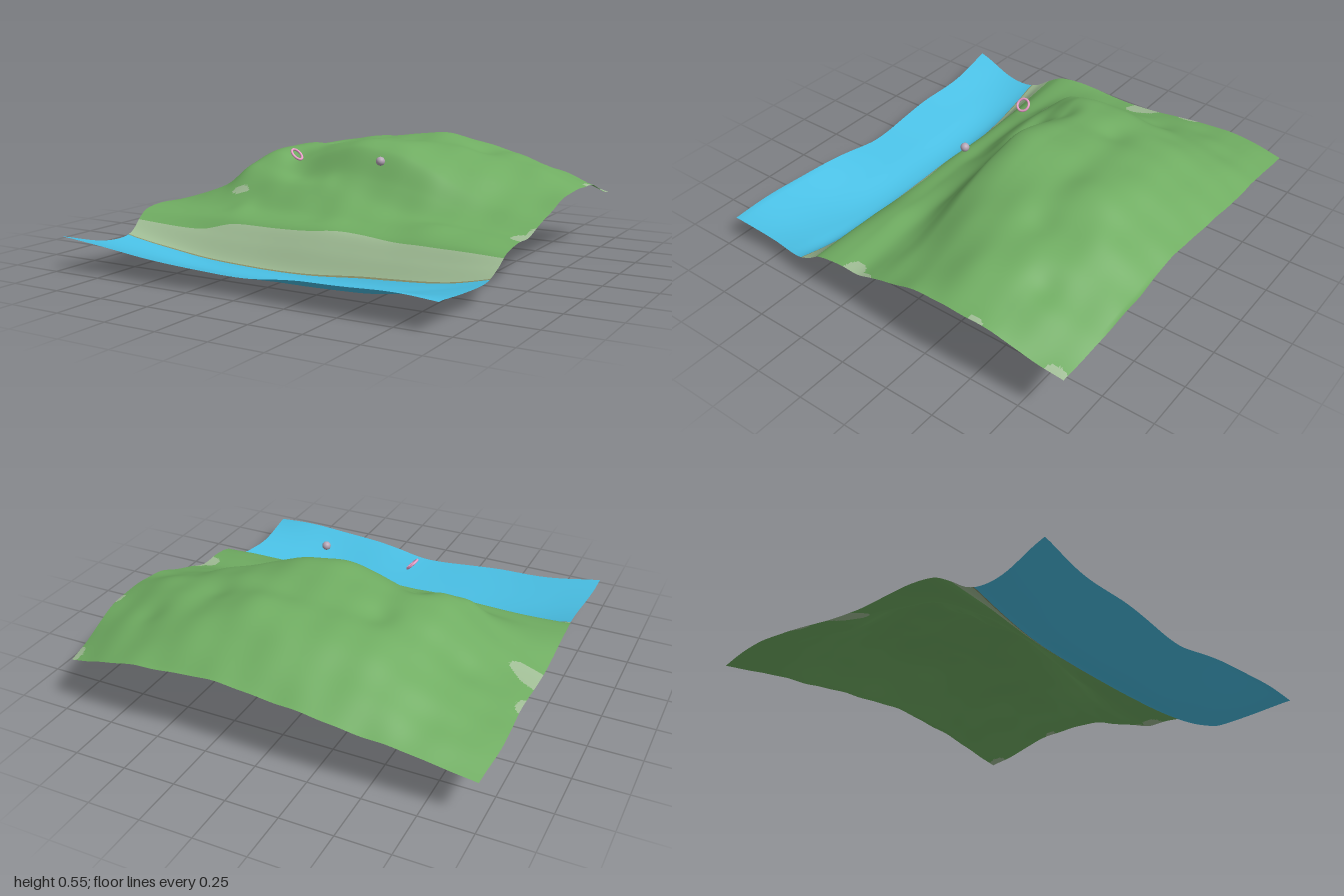
import * as THREE from 'three';

const material = (name, color) => {
  const m = new THREE.MeshStandardMaterial({ color, side: THREE.DoubleSide });
  m.name = name;
  return m;
};

// Smooth curve through points (ts, vs) with uneven spacing
function spline(ts, vs, t) {
  const n = ts.length;
  let k = 0;
  while (k < n - 2 && t > ts[k + 1]) k++;
  const slope = (i) => {
    const a = Math.max(i - 1, 0), b = Math.min(i + 1, n - 1);
    return (vs[b] - vs[a]) / (ts[b] - ts[a]);
  };
  const h = ts[k + 1] - ts[k];
  const s = Math.min(1, Math.max(0, (t - ts[k]) / h));
  const s2 = s * s, s3 = s2 * s;
  return (2 * s3 - 3 * s2 + 1) * vs[k] + (s3 - 2 * s2 + s) * h * slope(k)
    + (3 * s2 - 2 * s3) * vs[k + 1] + (s3 - s2) * h * slope(k + 1);
}
const curve = (points) => {
  const ts = points.map((p) => p[0]), vs = points.map((p) => p[1]);
  return (t) => spline(ts, vs, t);
};

// Outline of the sheet, and the shorelines running across it
const leftEdge = curve([[-0.94, -0.98], [-0.7, -1], [-0.4, -0.985], [0, -0.98], [0.4, -0.967], [0.57, -0.932], [0.7, -0.932], [0.9, -0.965], [0.98, -0.973]]);
const rightEdge = curve([[-0.95, 0.97], [-0.5, 1], [-0.2, 0.99], [0, 0.972], [0.2, 0.963], [0.4, 0.962], [0.6, 0.942], [0.75, 0.926], [0.99, 0.938]]);
const backEdge = curve([[-0.98, -0.935], [-0.6, -0.96], [-0.3, -0.98], [0, -0.98], [0.3, -0.982], [0.5, -0.993], [0.7, -0.985], [0.97, -0.95]]);
const grassLine = curve([[-0.96, 0.48], [-0.6, 0.46], [-0.4, 0.42], [0, 0.415], [0.2, 0.395], [0.5, 0.415], [0.95, 0.425]]);
const waterLine = curve([[-0.94, 0.585], [-0.6, 0.56], [0, 0.552], [0.4, 0.532], [0.95, 0.54]]);
const sandLine = (x) => waterLine(x) - 0.006;
const frontEdge = curve([[-0.975, 0.975], [-0.7, 0.95], [-0.4, 0.965], [0, 0.945], [0.2, 0.96], [0.5, 0.98], [0.94, 0.99]]);

// Height cross-sections from back to front
const sectionX = [-1, -0.75, -0.5, -0.25, 0, 0.25, 0.5, 0.75, 1];
const sections = [
  [-0.98, [0.19, 0.24, 0.29, 0.33, 0.36, 0.37, 0.36, 0.31, 0.23]],
  [-0.80, [0.22, 0.29, 0.37, 0.43, 0.46, 0.47, 0.44, 0.37, 0.27]],
  [-0.62, [0.235, 0.31, 0.42, 0.49, 0.53, 0.54, 0.48, 0.42, 0.33]],
  [-0.40, [0.22, 0.31, 0.45, 0.50, 0.52, 0.53, 0.49, 0.44, 0.35]],
  [-0.20, [0.195, 0.30, 0.48, 0.50, 0.55, 0.53, 0.47, 0.38, 0.33]],
  [-0.03, [0.185, 0.29, 0.46, 0.47, 0.53, 0.50, 0.40, 0.31, 0.27]],
  [0.07, [0.19, 0.28, 0.40, 0.38, 0.40, 0.37, 0.31, 0.26, 0.24]],
  [0.16, [0.20, 0.26, 0.34, 0.35, 0.33, 0.28, 0.25, 0.23, 0.21]],
  [0.28, [0.21, 0.22, 0.24, 0.24, 0.235, 0.23, 0.23, 0.23, 0.21]],
  [0.40, [0.20, 0.195, 0.20, 0.195, 0.20, 0.195, 0.19, 0.20, 0.19]],
  [0.47, [0.17, 0.15, 0.13, 0.12, 0.125, 0.12, 0.12, 0.13, 0.15]],
  [0.55, [0.13, 0.08, 0.04, 0.025, 0.02, 0.02, 0.03, 0.06, 0.12]],
  [0.64, [0.115, 0.06, 0.02, 0.006, 0.004, 0.004, 0.02, 0.06, 0.11]],
  [0.78, [0.12, 0.08, 0.055, 0.045, 0.04, 0.045, 0.05, 0.08, 0.11]],
  [0.97, [0.165, 0.14, 0.115, 0.10, 0.093, 0.115, 0.125, 0.135, 0.12]],
];
const sectionZ = sections.map((s) => s[0]);

// Knolls and hollows: x, z, radius, height
const knolls = [
  [-0.58, 0.08, 0.07, 0.022], [-0.35, -0.04, 0.07, -0.028], [-0.45, 0.3, 0.07, 0.014], [0.08, 0.3, 0.09, 0.01],
  [0.55, 0.31, 0.11, 0.016], [0.46, -0.48, 0.09, -0.018], [0.72, -0.68, 0.08, -0.015], [-0.3, -0.35, 0.08, -0.016],
  [-0.42, -0.6, 0.1, 0.012], [-0.08, 0.12, 0.06, 0.01], [-0.7, -0.35, 0.1, -0.012],
];

function height(x, z) {
  const y = spline(sectionZ, sections.map((s) => spline(sectionX, s[1], x)), z);
  // ripples on the hill only
  const hill = THREE.MathUtils.smoothstep(y, 0.19, 0.3);
  const ripples = Math.sin(14 * x + 2) * Math.sin(15 * z + 1) + 0.6 * Math.sin(17 * x + 16 * z) * Math.sin(15 * x - 17 * z + 2);
  const lumps = knolls.reduce((sum, [kx, kz, r, h]) => sum + h * Math.exp(-((x - kx) ** 2 + (z - kz) ** 2) / (r * r)), 0);
  return Math.max(0, y + 0.005 * hill * ripples + lumps);
}

// Bare pale patches in the grass: x, z, half width, half depth
const patches = [
  [-0.97, -0.15, 0.1, 0.075], [-0.9, -0.13, 0.065, 0.05], [-0.985, -0.4, 0.028, 0.06], [-0.535, 0.195, 0.048, 0.02],
  [0.96, 0.19, 0.065, 0.055], [0.97, 0.13, 0.025, 0.06], [0.99, -0.53, 0.015, 0.035], [0.98, -0.92, 0.045, 0.06],
];
const inPatch = (x, z) => patches.some(([px, pz, w, d]) => ((x - px) / w) ** 2 + ((z - pz) / d) ** 2 < 1);

function buildLandscape(materials) {
  const columns = 180;
  // Strips between neighbouring boundary lines: start, end, rows, material index
  const strips = [
    [backEdge, grassLine, 140, 0], [grassLine, sandLine, 12, 1], [sandLine, waterLine, 1, 2], [waterLine, frontEdge, 28, 3],
  ];
  const positions = [], indices = [[], [], [], []];
  const addRow = (start, end, t) => {
    for (let i = 0; i <= columns; i++) {
      const u = i / columns, across = THREE.MathUtils.lerp(-0.97, 0.97, u);
      const z = THREE.MathUtils.lerp(start(across), end(across), t);
      const x = THREE.MathUtils.lerp(leftEdge(z), rightEdge(z), u);
      positions.push(x, height(x, z), z);
    }
  };
  addRow(backEdge, grassLine, 0);
  let row = 0;
  for (const [start, end, rows, index] of strips) {
    for (let j = 1; j <= rows; j++, row++) {
      addRow(start, end, j / rows);
      for (let i = 0; i < columns; i++) {
        const a = row * (columns + 1) + i, b = a + 1, c = a + columns + 1, d = c + 1;
        for (const tri of [[a, c, b], [b, c, d]]) {
          const mid = (k) => tri.reduce((sum, v) => sum + positions[3 * v + k], 0) / 3;
          const bare = index === 0 && inPatch(mid(0), mid(2));
          indices[bare ? 1 : index].push(...tri);
        }
      }
    }
  }
  const geometry = new THREE.BufferGeometry();
  geometry.setAttribute('position', new THREE.Float32BufferAttribute(positions, 3));
  geometry.setIndex(indices.flat());
  let first = 0;
  indices.forEach((list, k) => {
    geometry.addGroup(first, list.length, k);
    first += list.length;
  });
  geometry.computeVertexNormals();
  const mesh = new THREE.Mesh(geometry, materials);
  mesh.name = 'landscape';
  return mesh;
}

export function createModel() {
  const group = new THREE.Group();
  group.name = 'coastalHill';
  group.add(buildLandscape([
    material('grass', 0x70ad62), material('paleGround', 0xa0bd95),
    material('wetSand', 0x8b8f66), material('water', 0x49bfe4),
  ]));

  // Small tilted ring floating above the slope
  const ring = new THREE.Mesh(new THREE.TorusGeometry(0.031, 0.006, 12, 40), material('pinkRing', 0xeaa0cb));
  ring.name = 'floatingRing';
  ring.position.set(-0.24, 0.492, 0.138);
  ring.lookAt(-0.24 + 0.72, 0.492 + 0.69, 0.138);
  group.add(ring);

  // Small floating ball
  const ball = new THREE.Mesh(new THREE.SphereGeometry(0.021, 24, 16), material('greyBall', 0xb5a6b6));
  ball.name = 'floatingBall';
  ball.position.set(0.22, 0.492, 0.138);
  group.add(ball);
  return group;
}
